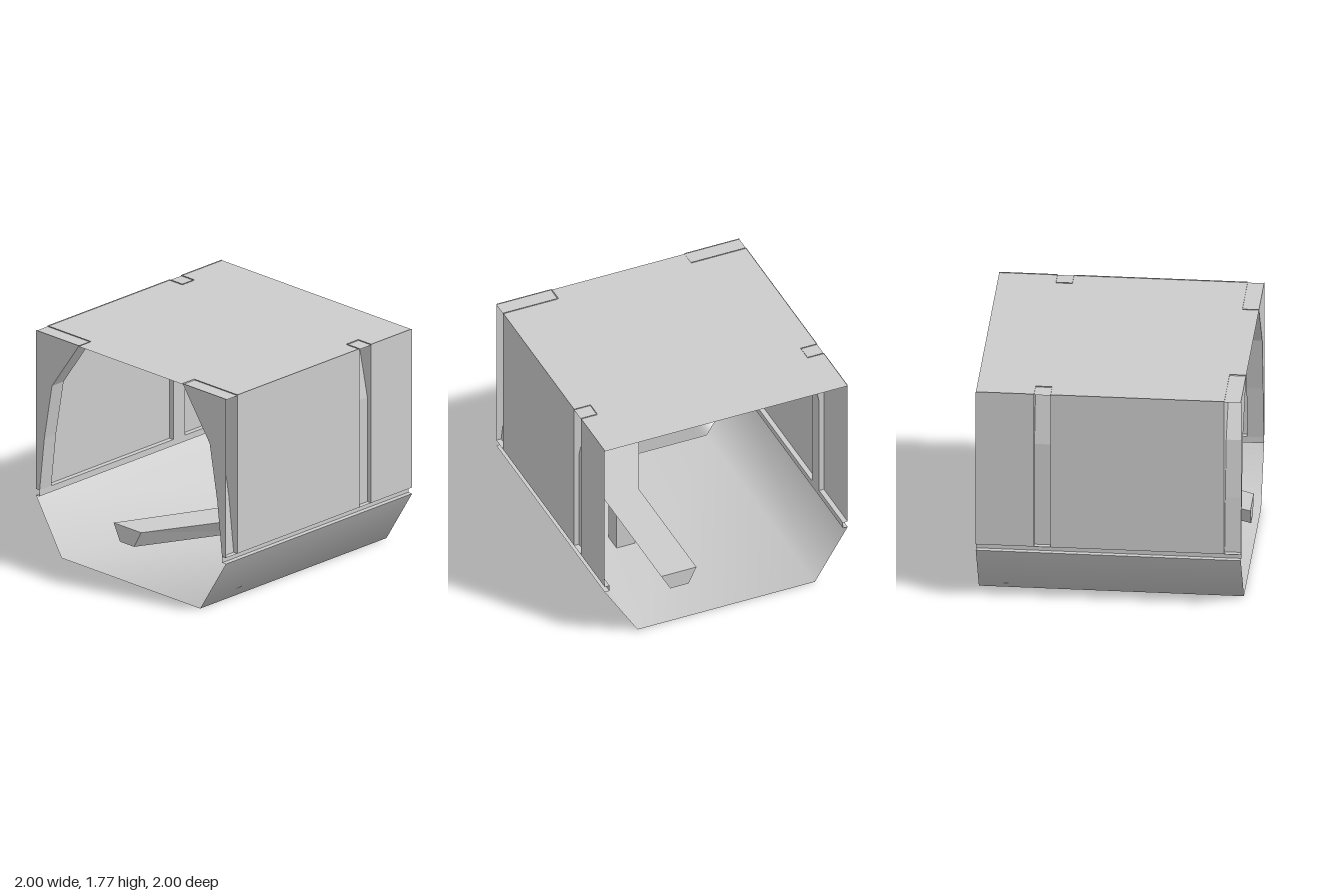
import * as THREE from 'three';

const grey = new THREE.MeshStandardMaterial({ color: 0xcccccc, side: THREE.DoubleSide });

function addMesh(parent, name, geometry) {
  const mesh = new THREE.Mesh(geometry, grey);
  mesh.name = name;
  parent.add(mesh);
  return mesh;
}

// Sheet made by sweeping a [z, y] profile along x
function sheet(profile, x0, x1, smooth = false) {
  const pos = [], index = [];
  profile.forEach(([z, y], i) => {
    pos.push(x0, y, z, x1, y, z);
    const a = i * 2;
    if (i < profile.length - 1) index.push(a, a + 1, a + 3, a, a + 3, a + 2);
  });
  let g = new THREE.BufferGeometry();
  g.setAttribute('position', new THREE.Float32BufferAttribute(pos, 3));
  g.setIndex(index);
  if (!smooth) g = g.toNonIndexed();
  g.computeVertexNormals();
  return g;
}

// Flat plate with a [z, y] outline standing at a given x
function plate(outline, x) {
  const shape = new THREE.Shape(outline.map(([z, y]) => new THREE.Vector2(z, y)));
  return new THREE.ShapeGeometry(shape).rotateY(-Math.PI / 2).translate(x, 0, 0);
}

// Closed flat-sided bar through rings of [x, y, z] corners
function bar(rings) {
  const n = rings[0].length, pos = [];
  const quad = (a, b, c, d) => pos.push(...a, ...b, ...c, ...a, ...c, ...d);
  for (let r = 0; r < rings.length - 1; r++)
    for (let i = 0; i < n; i++) {
      const j = (i + 1) % n;
      quad(rings[r][i], rings[r][j], rings[r + 1][j], rings[r + 1][i]);
    }
  const first = rings[0], last = rings[rings.length - 1];
  quad(first[3], first[2], first[1], first[0]);
  quad(last[0], last[1], last[2], last[3]);
  const g = new THREE.BufferGeometry();
  g.setAttribute('position', new THREE.Float32BufferAttribute(pos, 3));
  g.computeVertexNormals();
  return g;
}

export function createModel() {
  const model = new THREE.Group();
  model.name = 'corridorSection';
  const TOP = 1.77, ROOF = 1.763, SILL = 0.485, RIM = 0.435;

  // Hull trough and roof
  addMesh(model, 'lowerHull', sheet([[-1, RIM], [-0.73, 0], [0.73, 0], [1, RIM]], -1, 1, true));
  addMesh(model, 'roof', sheet([[1, ROOF], [-1, ROOF]], -1, 1));

  // Recessed ribs: inner profiles from sill to roof
  const ribs = [
    { name: 'endRib', x0: -1, x1: -0.875, inner: [[0.96, SILL], [0.91, 0.92], [0.83, 1.365], [0.545, TOP]] },
    { name: 'middleRib', x0: 0.435, x1: 0.56, inner: [[0.96, SILL], [0.96, 1.33], [0.865, TOP]] },
  ];

  for (const s of [1, -1]) {
    const side = new THREE.Group();
    side.name = s > 0 ? 'frontSide' : 'backSide';
    model.add(side);
    const flip = (p) => p.map(([z, y]) => [z * s, y]);

    // Wall panels between the ribs
    for (const [x0, x1] of [[-0.875, 0.435], [0.56, 1]])
      addMesh(side, 'wallPanel', sheet(flip([[1, SILL], [1, TOP]]), x0, x1));

    // Groove between wall and hull, open to the outside
    addMesh(side, 'grooveRail', sheet(flip([[1, RIM], [0.96, RIM], [0.96, SILL], [1, SILL]]), -1, 1));

    // Ribs, open to the outside
    for (const { name, x0, x1, inner } of ribs) {
      const rib = new THREE.Group();
      rib.name = name;
      side.add(rib);
      addMesh(rib, 'ribInnerFace', sheet(flip(inner), x0, x1));
      const outline = flip([[1, SILL], ...inner, [1, TOP]]);
      for (const x of [x0, x1]) addMesh(rib, 'ribCheek', plate(outline, x));
    }
  }

  // Bench beam, bent part way along, on one post
  const section = (dz, xOuter, xInner) => {
    const at = (z, y) => [xInner + (xOuter - xInner) * (z - 0.245) / 0.29, y, z + dz];
    return [at(0.535, 0.44), at(0.245, 0.44), at(0.31, 0.305), at(0.46, 0.305)];
  };
  const bench = new THREE.Group();
  bench.name = 'bench';
  model.add(bench);
  addMesh(bench, 'benchBeam', bar([section(0, 1, 1), section(0, -0.14, -0.07), section(-0.425, -1, -1)]));
  addMesh(bench, 'benchPost', new THREE.BoxGeometry(0.15, 0.305, 0.15).translate(-0.065, 0.1525, 0.385));

  return model;
}
